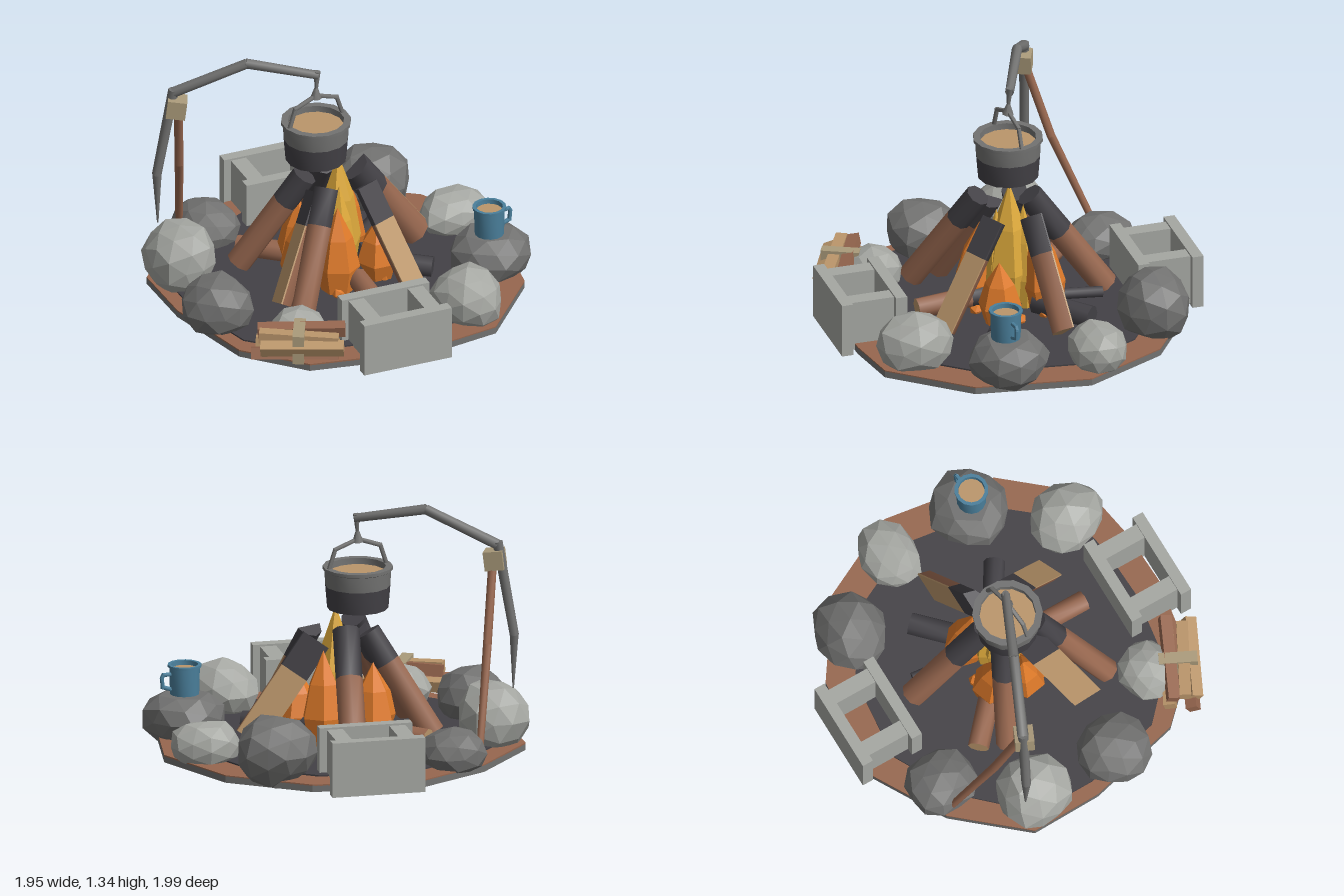
import * as THREE from 'three';
import { toCreasedNormals } from 'three/addons/utils/BufferGeometryUtils.js';

const mat = (name, color) => Object.assign(new THREE.MeshStandardMaterial({ color }), { name });
const M = {
  bark: mat('bark brown', 0x97674f), wood: mat('cut wood', 0xbb966b), rope: mat('pale rope', 0xab9b7b),
  char: mat('charcoal', 0x434146), iron: mat('dark grey', 0x727271), stone: mat('light grey', 0xa5a7a2),
  orange: mat('flame orange', 0xde7a2a), yellow: mat('flame yellow', 0xdeaa3c), blue: mat('enamel blue', 0x4a7f9b),
};
const V = (x, y, z) => new THREE.Vector3(x, y, z);

// smooth round parts with sharp edges; crease 0 gives flat facets
function add(parent, name, geo, material, x = 0, y = 0, z = 0, crease = 0.9) {
  const m = new THREE.Mesh(toCreasedNormals(geo, crease), material);
  m.name = name;
  m.position.set(x, y, z);
  parent.add(m);
  return m;
}
function sub(parent, name, x = 0, y = 0, z = 0, ry = 0) {
  const g = new THREE.Group();
  g.name = name;
  g.position.set(x, y, z);
  g.rotation.y = ry;
  parent.add(g);
  return g;
}
// group whose y axis runs from b up to a and whose z axis faces outward and up
function between(parent, name, a, b) {
  const g = sub(parent, name);
  const Y = a.clone().sub(b).normalize();
  const hint = Math.abs(Y.y) > 0.98 ? V(0, 0, 1) : V(0, 1, 0);
  const X = Y.clone().cross(hint).normalize();
  g.quaternion.setFromRotationMatrix(new THREE.Matrix4().makeBasis(X, Y, X.clone().cross(Y)));
  g.position.copy(a).add(b).multiplyScalar(0.5);
  return g;
}
function rods(parent, name, pts, radii, material) {
  for (let i = 0; i < pts.length - 1; i++) {
    const a = pts[i], b = pts[i + 1], len = a.distanceTo(b) + (i < pts.length - 2 ? 0.012 : 0);
    add(between(parent, name, a, b), name, new THREE.CylinderGeometry(radii[i], radii[i + 1], len, 8), material);
  }
}
const scaled = (pts, k) => pts.map(([x, z]) => new THREE.Vector2(x * k, z * k));
function plate(parent, name, pts, top, depth, material, hole) {
  const shape = new THREE.Shape(scaled(pts, 1));
  if (hole) shape.holes.push(new THREE.Path(scaled(pts, hole)));
  const geo = new THREE.ExtrudeGeometry(shape, { depth, bevelEnabled: false }).rotateX(Math.PI / 2);
  add(parent, name, geo, material, 0, top, 0, 0);
}
// uneven boulder with an optional level top
function rock(parent, [x, z, w, d, top, material, level], seed) {
  const geo = new THREE.IcosahedronGeometry(1, 1), p = geo.attributes.position, v = V(0, 0, 0);
  for (let i = 0; i < p.count; i++) {
    v.fromBufferAttribute(p, i);
    const h = Math.sin(Math.round(v.x * 50) * 1.7 + Math.round(v.y * 50) * 2.3 + Math.round(v.z * 50) * 3.1 + seed * 5);
    v.multiplyScalar(1 + 0.06 * h);
    if (level) v.y = Math.min(v.y, 0.8);
    p.setXYZ(i, v.x, v.y, v.z);
  }
  const half = (top - 0.015) / (level ? 1.8 : 2);
  geo.rotateY(seed).scale(w / 2, half, d / 2);
  add(parent, 'rock', geo, material, x, 0.015 + half, z, 0);
}
// log with a burnt upper end: round, or split when given a turn (0 = cut face inward)
function log(parent, a, b, r, burnt, turn) {
  const mid = a.clone().lerp(b, burnt);
  for (const [p, q, isBurnt] of [[a, mid, true], [mid, b, false]]) {
    const len = p.distanceTo(q);
    if (len < 0.01) continue;
    const g = between(parent, isBurnt ? 'burntEnd' : 'log', p, q);
    const skin = isBurnt ? M.char : M.bark, cut = isBurnt ? M.char : M.wood;
    if (turn === undefined) {
      add(g, 'logBody', new THREE.CylinderGeometry(r, r, len, 8), [skin, cut, cut]);
    } else {
      const half = sub(g, 'splitLog', 0, 0, 0, turn);
      add(half, 'logBody', new THREE.CylinderGeometry(r, r, len, 4, 1, false, -Math.PI / 2, Math.PI), [skin, cut, cut]);
      add(half, 'cutFace', new THREE.BoxGeometry(2 * r, len, 0.008), cut);
    }
  }
}
function flame(parent, x, z, r, top, material, spin, lean = 0) {
  const h = top - 0.08;
  const prof = [[0, 0], [0.75, 0.02], [1, 0.3], [0.68, 0.65], [0, 1]].map(([a, b]) => new THREE.Vector2(a * r, b * h));
  const m = add(parent, 'flame', new THREE.LatheGeometry(prof, 6), material, x, 0.08, z, 0);
  m.rotation.set(-z * lean, spin, x * lean);
}
function block(parent, x, z) {
  const g = sub(parent, 'hollowBlock', x, 0.18, z, -0.152);
  for (const s of [-1, 1]) {
    add(g, 'blockFace', new THREE.BoxGeometry(0.49, 0.29, 0.06), M.stone, 0, 0, s * 0.146);
    add(g, 'blockWeb', new THREE.BoxGeometry(0.085, 0.27, 0.25), M.stone, s * 0.165, 0, 0);
  }
}

export function createModel() {
  const root = new THREE.Group();
  root.name = 'campfire';

  // ground: a thin sheet of earth on a raised rim
  const outline = [[0.96, 0], [0.81, -0.47], [0.46, -0.8], [-0.08, -0.94], [-0.5, -0.78], [-0.85, -0.48], [-0.9, -0.1],
    [-0.85, 0.42], [-0.62, 0.74], [-0.2, 0.88], [0.1, 0.915], [0.4, 0.91], [0.78, 0.58]];
  plate(root, 'groundRim', outline, 0.074, 0.034, M.iron, 0.975);
  plate(root, 'ground', outline, 0.08, 0.008, M.bark);
  plate(root, 'ashBed', outline.map(([x, z]) => [x * (x < 0 ? 0.92 : 0.82), z * 0.84]), 0.088, 0.01, M.char);

  // ring of rocks and blocks
  [[-0.355, -0.7, 0.35, 0.37, 0.27, M.iron], [0.56, -0.555, 0.42, 0.38, 0.4, M.iron],
    [0.78, -0.12, 0.39, 0.31, 0.28, M.stone], [0.71, 0.355, 0.43, 0.43, 0.285, M.iron, true],
    [0.35, 0.71, 0.36, 0.41, 0.34, M.stone], [-0.555, 0.51, 0.31, 0.31, 0.27, M.stone],
    [-0.79, 0.1, 0.38, 0.39, 0.34, M.iron], [-0.715, -0.375, 0.39, 0.41, 0.405, M.stone]]
    .forEach((r, i) => rock(root, r, i + 1));
  block(root, -0.135, 0.785);
  block(root, 0.13, -0.787);

  // leaning logs
  const fire = sub(root, 'fire');
  log(fire, V(0.0, 0.68, -0.12), V(0.11, 0.13, -0.5), 0.07, 0.4);
  log(fire, V(0.15, 0.63, -0.08), V(0.52, 0.14, -0.08), 0.085, 0.33, -Math.PI / 2);
  log(fire, V(0.1, 0.64, 0.14), V(0.2, 0.13, 0.48), 0.07, 0.33, Math.PI);
  log(fire, V(-0.13, 0.67, 0.11), V(-0.42, 0.13, 0.35), 0.065, 0.3);
  log(fire, V(-0.17, 0.63, 0.03), V(-0.47, 0.13, 0.18), 0.08, 0.3, 2.36);
  log(fire, V(-0.13, 0.65, -0.1), V(-0.41, 0.13, -0.29), 0.068, 0.3);
  // lying logs and charred pieces
  log(fire, V(0, 0.17, 0.12), V(-0.05, 0.14, 0.5), 0.055, 0.25);
  log(fire, V(-0.1, 0.15, -0.15), V(-0.33, 0.14, -0.43), 0.055, 0.2);
  log(fire, V(0.15, 0.14, -0.08), V(0.42, 0.13, -0.27), 0.06, 1);
  log(fire, V(0.14, 0.15, 0.05), V(0.41, 0.13, 0.28), 0.055, 1);
  log(fire, V(0.1, 0.14, -0.15), V(0.18, 0.13, -0.45), 0.03, 1);

  // flames and embers
  flame(fire, 0.01, 0, 0.125, 0.78, M.yellow, 0.3);
  flame(fire, -0.02, 0.06, 0.09, 0.63, M.yellow, 0.8);
  flame(fire, 0.05, -0.06, 0.09, 0.66, M.yellow, 1.4);
  [[-0.09, 0.16, 0.55], [0.14, -0.15, 0.58], [0.17, 0.13, 0.42], [-0.19, -0.01, 0.46], [-0.12, -0.17, 0.5]]
    .forEach(([x, z, top], i) => flame(fire, x, z, 0.115, top, M.orange, i * 0.7, 0.4));
  for (let i = 0; i < 10; i++) {
    const a = i * 0.628 + 0.2, r = 0.23 + 0.03 * Math.sin(i * 2.4);
    add(fire, 'ember', new THREE.IcosahedronGeometry(0.035, 0), M.orange, r * Math.cos(a), 0.1, r * Math.sin(a), 0);
  }

  // cooking pot
  const pot = sub(root, 'pot', -0.095, 0, -0.045, 0.26);
  const lathe = pts => new THREE.LatheGeometry(pts.map(p => new THREE.Vector2(...p)), 14);
  add(pot, 'potBase', lathe([[0, 0.77], [0.158, 0.77], [0.168, 0.89]]), M.char);
  add(pot, 'potRim', lathe([[0.168, 0.89], [0.172, 0.97], [0.182, 0.975], [0.182, 0.992], [0.146, 0.992], [0.143, 0.94]]), M.iron);
  add(pot, 'soup', new THREE.CylinderGeometry(0.147, 0.147, 0.008, 14), M.wood, 0, 0.955, 0);
  const bail = [[-0.162, 0.98], [-0.125, 1.09], [0, 1.135], [0.125, 1.09], [0.162, 0.98]];
  rods(root, 'potHandle', bail.map(([x, y]) => V(x - 0.095, y, -0.045)), Array(5).fill(0.012), M.iron);

  // hanging pole, hook and prop
  rods(root, 'pole', [V(-0.085, 1.25, -0.05), V(-0.39, 1.315, -0.245), V(-0.71, 1.145, -0.445)], [0.023, 0.027, 0.029], M.iron);
  rods(root, 'poleSpike', [V(-0.71, 1.155, -0.445), V(-0.785, 0.67, -0.485), V(-0.78, 0.38, -0.485)], [0.028, 0.025, 0.004], M.iron);
  rods(root, 'hook', [V(-0.085, 1.265, -0.05), V(-0.092, 1.18, -0.047), V(-0.095, 1.12, -0.045)], [0.018, 0.009, 0.03], M.iron);
  rods(root, 'prop', [V(-0.69, 1.08, -0.43), V(-0.61, 0.65, -0.55), V(-0.48, 0.1, -0.76)], [0.023, 0.023, 0.018], M.bark);
  add(root, 'lashing', new THREE.BoxGeometry(0.1, 0.1, 0.1), M.rope, -0.7, 1.065, -0.43).rotation.set(0, -0.57, -0.12);

  // mug
  const mug = sub(root, 'mug', 0.7, 0.28, 0.365);
  add(mug, 'mugBody', lathe([[0, 0], [0.076, 0], [0.08, 0.148], [0.088, 0.15], [0.088, 0.162], [0.07, 0.162], [0.066, 0.11]]), M.blue);
  add(mug, 'drink', new THREE.CylinderGeometry(0.069, 0.069, 0.006, 14), M.wood, 0, 0.135, 0);
  rods(mug, 'mugHandle', [V(0.075, 0.115, 0), V(0.118, 0.115, 0), V(0.126, 0.1, 0), V(0.122, 0.05, 0), V(0.075, 0.035, 0)],
    Array(5).fill(0.011), M.blue);

  // tied firewood
  const bundle = sub(root, 'firewood', -0.63, 0.175, 0.65, -0.61);
  [[0.055, -0.04, M.bark, 0.02], [-0.05, -0.04, M.wood, -0.03], [0.03, 0.035, M.wood, -0.03], [-0.045, 0.045, M.bark, 0.03], [0.075, 0, M.wood, 0.02]]
    .forEach(([z, y, material, yaw], i) => {
      add(bundle, 'stick', new THREE.BoxGeometry(0.45 - 0.02 * (i % 3), 0.06, 0.06), material, 0.01 * (i - 2), y, z)
        .rotation.set(0.2 * (i - 2), yaw, yaw);
    });
  add(bundle, 'strap', new THREE.BoxGeometry(0.06, 0.16, 0.2), M.rope);
  return root;
}
